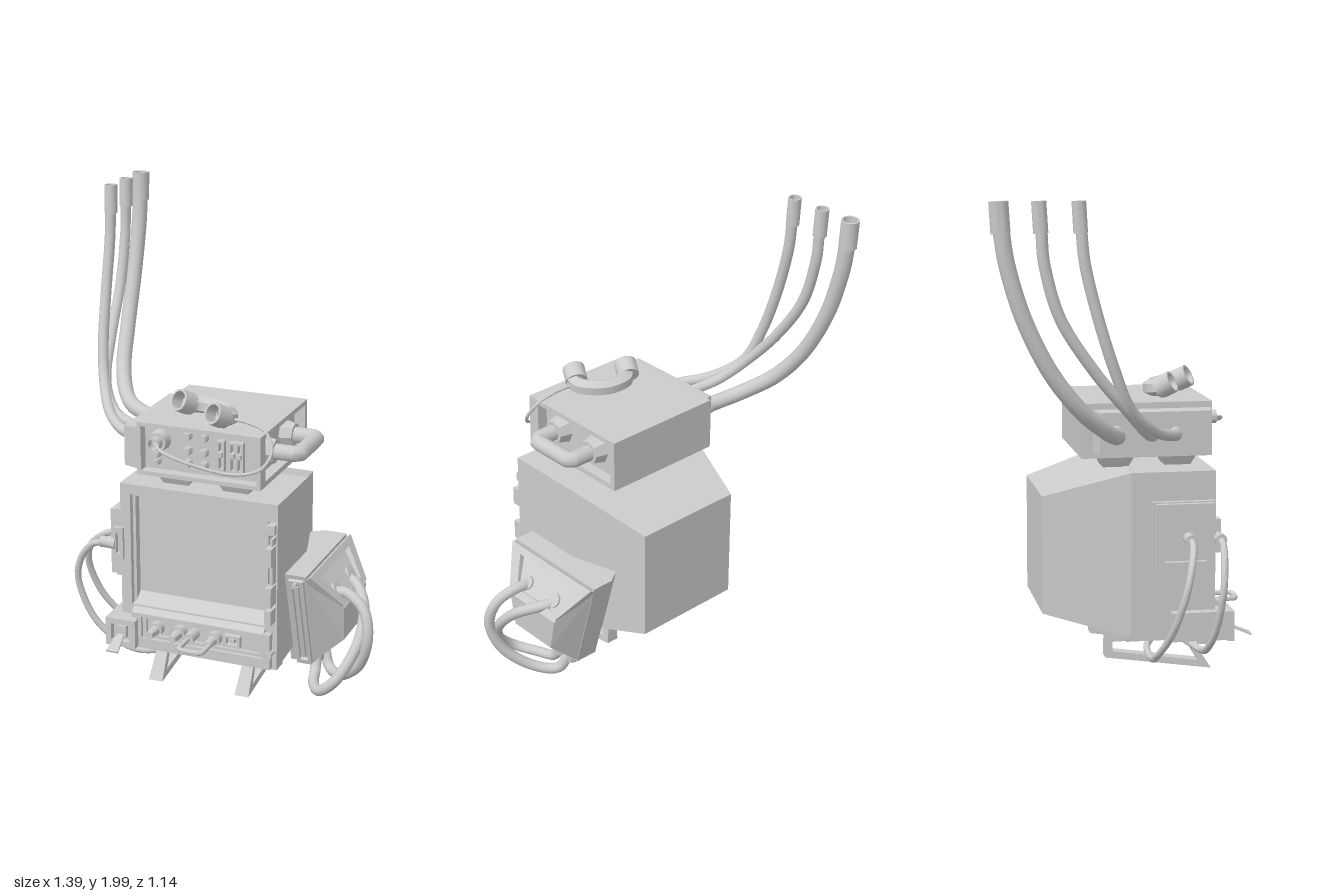
import * as THREE from 'three';
import { toCreasedNormals } from 'three/addons/utils/BufferGeometryUtils.js';
import { ConvexGeometry } from 'three/addons/geometries/ConvexGeometry.js';

const grey = new THREE.MeshStandardMaterial({ color: 0xcccccc, side: THREE.DoubleSide });
grey.name = 'plain grey';
const V = (p) => new THREE.Vector3(...p);

export function createModel() {
  const model = new THREE.Group();
  let parent = model;
  const group = (name) => {
    parent = new THREE.Group();
    parent.name = name;
    model.add(parent);
  };
  const add = (name, geo, pos = [0, 0, 0], rot = [0, 0, 0]) => {
    const m = new THREE.Mesh(geo, grey);
    m.name = name;
    m.position.set(...pos);
    m.rotation.set(...rot);
    parent.add(m);
    return m;
  };
  // box from its limits on each axis
  const box = (name, x0, x1, y0, y1, z0, z1) =>
    add(name, new THREE.BoxGeometry(x1 - x0, y1 - y0, z1 - z0), [(x0 + x1) / 2, (y0 + y1) / 2, (z0 + z1) / 2]);
  const hull = (name, pts) => add(name, new ConvexGeometry(pts.map(V)));
  const tube = (name, pts, r, sides = 10) =>
    add(name, toCreasedNormals(new THREE.TubeGeometry(new THREE.CatmullRomCurve3(pts.map(V), false, 'catmullrom', 0.5), 48, r, sides), 0.8));
  const cyl = (name, r0, r1, h, pos, rot, n = 12) =>
    add(name, toCreasedNormals(new THREE.CylinderGeometry(r0, r1, h, n), 0.7), pos, rot);
  // hollow-ended sleeve opening along +y
  const cup = (name, r, h, pos, rot) =>
    add(name, toCreasedNormals(new THREE.LatheGeometry(
      [[0, 0], [r, 0], [r, h], [r * 0.8, h], [r * 0.8, h * 0.2], [0, h * 0.2]].map((p) => new THREE.Vector2(...p)), 14), 0.7), pos, rot);
  const rect = (x0, x1, y0, y1) => [[x0, y0], [x1, y0], [x1, y1], [x0, y1]];
  // extruded outline with holes
  const frameGeo = (outer, holes, depth) => {
    const s = new THREE.Shape(outer.map((p) => new THREE.Vector2(...p)));
    holes.forEach((h) => s.holes.push(new THREE.Path(h.map((p) => new THREE.Vector2(...p)))));
    return new THREE.ExtrudeGeometry(s, { depth, bevelEnabled: false });
  };
  const frame = (name, outer, holes, z0, z1) => add(name, frameGeo(outer, holes, z1 - z0), [0, 0, z0]);
  const FRONT = [Math.PI / 2, 0, 0], SIDE = [0, 0, Math.PI / 2];

  // monitor: tapered casing, deep bezel and screen
  group('monitor');
  const section = (x0, x1, y0, y1, z) => rect(x0, x1, y0, y1).map(([x, y]) => [x, y, z]);
  hull('casing', [...section(-0.355, 0.34, 0.18, 0.895, 0.32), ...section(-0.355, 0.34, 0.21, 0.895, 0.035),
    ...section(-0.25, 0.24, 0.3, 0.79, -0.315)]);
  frame('screenBezel', rect(-0.355, 0.34, 0.17, 0.895),
    [rect(-0.31, 0.292, 0.36, 0.85), rect(0.3, 0.334, 0.38, 0.82)], 0.315, 0.385);
  frame('screenRim', rect(-0.31, 0.292, 0.36, 0.85), [rect(-0.297, 0.28, 0.37, 0.838)], 0.315, 0.36);
  box('screen', -0.3, 0.285, 0.365, 0.84, 0.31, 0.325);
  hull('screenLedge', [-0.3, 0.29].flatMap((x) => [[x, 0.33, 0.32], [x, 0.4, 0.325], [x, 0.335, 0.41], [x, 0.32, 0.41]]));
  box('sideButton', 0.3, 0.333, 0.77, 0.81, 0.32, 0.405);
  [[0.64, 0.72], [0.465, 0.55], [0.385, 0.45]].forEach(([a, b]) => box('sideSwitch', 0.303, 0.331, a, b, 0.32, 0.435));
  box('sideSlider', 0.312, 0.324, 0.5, 0.75, 0.32, 0.4);
  box('underside', -0.27, 0.25, 0.17, 0.22, 0.03, 0.36);

  // control strip below the screen
  group('controlPanel');
  frame('panelFrame', rect(-0.3, 0.32, 0.18, 0.335), [rect(-0.255, 0.285, 0.225, 0.322)], 0.36, 0.415);
  frame('panelRim', rect(-0.255, 0.285, 0.225, 0.322), [rect(-0.238, 0.268, 0.238, 0.31)], 0.36, 0.4);
  [-0.19, -0.087, 0.07].forEach((x) => {
    cyl('knobBase', 0.03, 0.03, 0.04, [x, 0.274, 0.4], FRONT);
    cyl('knob', 0.016, 0.023, 0.08, [x, 0.274, 0.44], FRONT);
  });
  cyl('knobBase', 0.024, 0.024, 0.07, [-0.025, 0.274, 0.42], FRONT);
  tube('panelHandle', [[-0.028, 0.274, 0.39], [-0.028, 0.274, 0.53], [-0.02, 0.274, 0.552], [0, 0.274, 0.557],
    [0.05, 0.274, 0.557], [0.07, 0.274, 0.552], [0.078, 0.274, 0.53], [0.078, 0.274, 0.39]], 0.011);
  frame('socket', rect(0.115, 0.185, 0.25, 0.3), [rect(0.125, 0.175, 0.26, 0.29)], 0.385, 0.41);
  box('socketPin', 0.14, 0.16, 0.267, 0.283, 0.385, 0.405);
  cyl('latchPin', 0.009, 0.012, 0.05, [0.32, 0.25, 0.405], FRONT);
  cyl('latchTip', 0.015, 0.015, 0.012, [0.32, 0.25, 0.428], FRONT);

  // outlet box with tilted lever on the right flank
  group('outletBox');
  box('outletBody', -0.4, -0.27, 0.195, 0.315, 0.2, 0.43);
  frame('outletFrame', rect(-0.4, -0.265, 0.19, 0.315), [rect(-0.375, -0.29, 0.215, 0.29)], 0.43, 0.458);
  box('outletSwitch', -0.355, -0.31, 0.23, 0.28, 0.42, 0.45);
  add('outletLever', frameGeo([[-0.014, 0], [0.014, 0], [0.027, 0.1], [-0.027, 0.1]], [], 0.008),
    [-0.333, 0.245, 0.45], [Math.PI / 2 + 0.4, 0, 0]);

  // right flank plate and its looping cables
  group('cablePlate');
  box('plateBase', -0.38, -0.35, 0.48, 0.775, 0.12, 0.38);
  add('plateRim', frameGeo(rect(0.13, 0.375, 0.485, 0.77), [rect(0.165, 0.34, 0.53, 0.725)], 0.027).rotateY(-Math.PI / 2), [-0.378, 0, 0]);
  frame('plateLatch', rect(-0.385, -0.34, 0.56, 0.7), [rect(-0.372, -0.353, 0.585, 0.675)], 0.36, 0.4);
  [[0.267, 0.21, 0.13, -0.59, 0.0], [0.39, 0.37, 0.34, -0.565, 0.025]].forEach(([z0, z1, z2, xo, dy]) => {
    cyl('cableSocket', 0.024, 0.024, 0.07, [-0.41, 0.625, z0], SIDE);
    tube('loopCable', [[-0.4, 0.625, z0], [-0.48, 0.61, z0], [xo + 0.02, 0.53, (z0 + z1) / 2], [xo, 0.42, z1],
      [xo + 0.05, 0.27, (z1 + z2) / 2], [-0.43, 0.15 + dy, z2], [-0.3, 0.105 + dy, z2], [-0.15, 0.12 + dy, z2 * 0.7 + 0.05],
      [0.0, 0.155, 0.22], [0.18, 0.18, 0.22]], 0.0145);
  });

  // stand: two open slanted frames with splayed feet
  group('stand');
  [-0.2, 0.19].forEach((x) => {
    const g = frameGeo([[-0.4, 0.03], [0.05, 0.095], [0.05, 0.22], [-0.29, 0.2]],
      [[[-0.345, 0.065], [0.02, 0.12], [0.02, 0.16], [-0.285, 0.165]]], 0.044).rotateY(Math.PI / 2);
    const p = g.attributes.position;
    for (let i = 0; i < p.count; i++) p.setX(i, (p.getX(i) - 0.022) * (1.4 - 2.2 * (p.getY(i) - 0.03)));
    g.computeVertexNormals();
    add('leg', g, [x, 0, 0]);
  });

  // side unit: slanted casing with a cable window
  group('sideUnit');
  hull('sidePlate', [0.33, 0.432].flatMap((x) => [[x, 0.565, -0.215], [x, 0.565, 0.3], [x - 0.005, 0.125, -0.09], [x - 0.005, 0.125, 0.17]]));
  hull('sideMount', [[0.275, 0.565, -0.175], [0.34, 0.565, -0.215], [0.34, 0.565, 0.05],
    [0.29, 0.25, -0.1], [0.34, 0.25, -0.125], [0.34, 0.25, 0.05]]);
  hull('sideCasing', [[0.426, 0.547, -0.21], [0.426, 0.547, 0.295], [0.536, 0.397, -0.11], [0.536, 0.397, 0.19],
    [0.56, 0.4, -0.105], [0.56, 0.4, 0.185], [0.555, 0.25, -0.07], [0.555, 0.25, 0.165],
    [0.42, 0.125, -0.09], [0.42, 0.125, 0.17], [0.36, 0.125, -0.09], [0.36, 0.125, 0.17]]);
  const windowFrame = add('windowFrame', frameGeo([[-0.19, 0], [0.11, 0], [0.215, 0.186], [-0.3, 0.186]],
    [[[-0.155, 0.025], [0.075, 0.025], [0.14, 0.155], [-0.225, 0.155]]], 0.03));
  windowFrame.quaternion.setFromRotationMatrix(new THREE.Matrix4().makeBasis(
    V([0, 0, -1]), V([-0.591, 0.806, 0]), V([0.806, 0.591, 0])));
  windowFrame.position.set(0.536, 0.397, 0);
  add('slotFrame', frameGeo(rect(-0.032, 0.032, -0.22, 0.22), [rect(-0.018, 0.018, -0.2, 0.2)], 0.03),
    [0.39, 0.34, 0.22], [0.287, 0, 0]);
  add('slotBar', new THREE.BoxGeometry(0.015, 0.37, 0.03), [0.39, 0.34, 0.235], [0.287, 0, 0]);
  cyl('slotPin', 0.01, 0.012, 0.05, [0.39, 0.53, 0.305], FRONT);
  [0.13, -0.045].forEach((z) => cyl('cableCollar', 0.032, 0.032, 0.06, [0.49, 0.445, z], [0, 0, -0.94]));
  tube('sideCable', [[0.48, 0.44, 0.13], [0.56, 0.45, 0.14], [0.645, 0.395, 0.175], [0.668, 0.28, 0.2], [0.625, 0.15, 0.17],
    [0.53, 0.055, 0.1], [0.445, 0.04, 0.02], [0.405, 0.13, -0.02]], 0.023);
  tube('sideCable', [[0.48, 0.44, -0.045], [0.55, 0.43, -0.01], [0.615, 0.37, 0.09], [0.625, 0.26, 0.19], [0.57, 0.13, 0.265],
    [0.49, 0.05, 0.265], [0.43, 0.032, 0.18], [0.405, 0.05, 0.09], [0.4, 0.13, 0.05]], 0.023);
  [0.05, -0.02].forEach((z) => cyl('cablePlug', 0.033, 0.028, 0.05, [0.4, 0.11, z]));

  // radio unit on four tapered feet
  group('radioUnit');
  box('radioBody', -0.275, 0.218, 0.945, 1.17, -0.155, 0.338);
  frame('frontFrame', rect(-0.275, 0.265, 0.945, 1.17), [rect(-0.258, 0.248, 0.963, 1.153)], 0.335, 0.385);
  add('sideFrame', frameGeo(rect(-0.335, 0.155, 0.945, 1.17), [rect(-0.33, 0.13, 0.968, 1.15)], 0.05).rotateY(Math.PI / 2), [0.215, 0, 0]);
  [-0.135, 0.13].forEach((x) => [0.26, 0.0].forEach((z) =>
    add('foot', new THREE.CylinderGeometry(0.115, 0.075, 0.06, 4, 1).rotateY(Math.PI / 4).toNonIndexed(), [x, 0.922, z])
      .geometry.computeVertexNormals()));
  hull('cableBlock', [[-0.27, 0.965, -0.11], [-0.27, 1.145, -0.11], [-0.27, 0.965, 0.38], [-0.27, 1.145, 0.38],
    [-0.34, 0.97, -0.09], [-0.34, 1.14, -0.09], [-0.34, 0.97, 0.365], [-0.34, 1.14, 0.365]]);
  tube('carryHandle', [[0.21, 1.062, -0.0], [0.34, 1.062, -0.0], [0.362, 1.062, 0.01], [0.368, 1.062, 0.035],
    [0.368, 1.062, 0.19], [0.362, 1.062, 0.215], [0.34, 1.062, 0.225], [0.21, 1.062, 0.225]], 0.034);
  [0, 0.225].forEach((z) => cyl('handleFlange', 0.05, 0.065, 0.06, [0.24, 1.062, z], [0, 0, -Math.PI / 2], 8));

  // radio front controls
  cyl('dialRing', 0.04, 0.045, 0.05, [-0.187, 1.092, 0.36], FRONT, 16);
  cup('dial', 0.028, 0.05, [-0.187, 1.092, 0.37], FRONT);
  [-0.064, 0.008].forEach((x) => [1.125, 1.062, 1.008].forEach((y) => cyl('button', 0.017, 0.018, 0.04, [x, y, 0.355], FRONT, 8)));
  [1.03, 1.0].forEach((y) => cyl('button', 0.014, 0.016, 0.04, [-0.2, y, 0.355], FRONT, 8));
  [0.083, 0.135, 0.165].forEach((x) => {
    frame('sliderTrack', rect(x - 0.015, x + 0.015, 0.995, 1.125), [rect(x - 0.007, x + 0.007, 1.005, 1.115)], 0.335, 0.362);
    box('slider', x - 0.011, x + 0.011, 1.06, 1.08, 0.335, 0.375);
  });

  // three upright hoses with hollow sleeves: z along the path, end z, radii
  group('hoses');
  [[[-0.025, -0.035, -0.09, -0.21, -0.335, -0.435, -0.497], -0.522, 0.033, 0.038],
    [[0.115, 0.11, 0.06, -0.03, -0.165, -0.295, -0.355], -0.37, 0.023, 0.029],
    [[0.22, 0.2, 0.1, -0.015, -0.085, -0.15, -0.2], -0.218, 0.023, 0.028]].forEach(([z, zEnd, r, rs]) => {
    const path = [[-0.33, 1.05], [-0.42, 1.055], [-0.53, 1.09], [-0.61, 1.19], [-0.645, 1.35], [-0.658, 1.55], [-0.66, 1.75]];
    cyl('hoseCollar', rs, rs, 0.06, [-0.355, 1.05, z[0]], SIDE);
    tube('hose', [...path.map(([x, y], i) => [x, y, z[i]]), [-0.66, 1.89, zEnd + 0.002]], r);
    cup('hoseSleeve', rs, 0.12, [-0.66, 1.878, zEnd], [-0.06, 0, 0]);
  });

  // handset and cord
  group('handset');
  tube('handsetGrip', [[-0.115, 1.21, 0.2], [-0.08, 1.203, 0.175], [-0.01, 1.198, 0.18], [0.05, 1.198, 0.215], [0.088, 1.2, 0.27], [0.08, 1.21, 0.315]], 0.036, 6);
  const aim = new THREE.Quaternion().setFromUnitVectors(V([0, 1, 0]), V([-0.42, 0.45, 0.79]).normalize());
  [[-0.12, 1.205, 0.19], [0.075, 1.205, 0.3]].forEach((p) => cup('handsetCup', 0.047, 0.07, p).quaternion.copy(aim));
  tube('handsetCord', [[-0.187, 1.092, 0.4], [-0.13, 1.08, 0.455], [0, 1.05, 0.468], [0.15, 1.02, 0.44], [0.26, 1.035, 0.4],
    [0.3, 1.1, 0.355], [0.26, 1.17, 0.315], [0.18, 1.195, 0.3], [0.1, 1.2, 0.29]], 0.007);

  return model;
}
